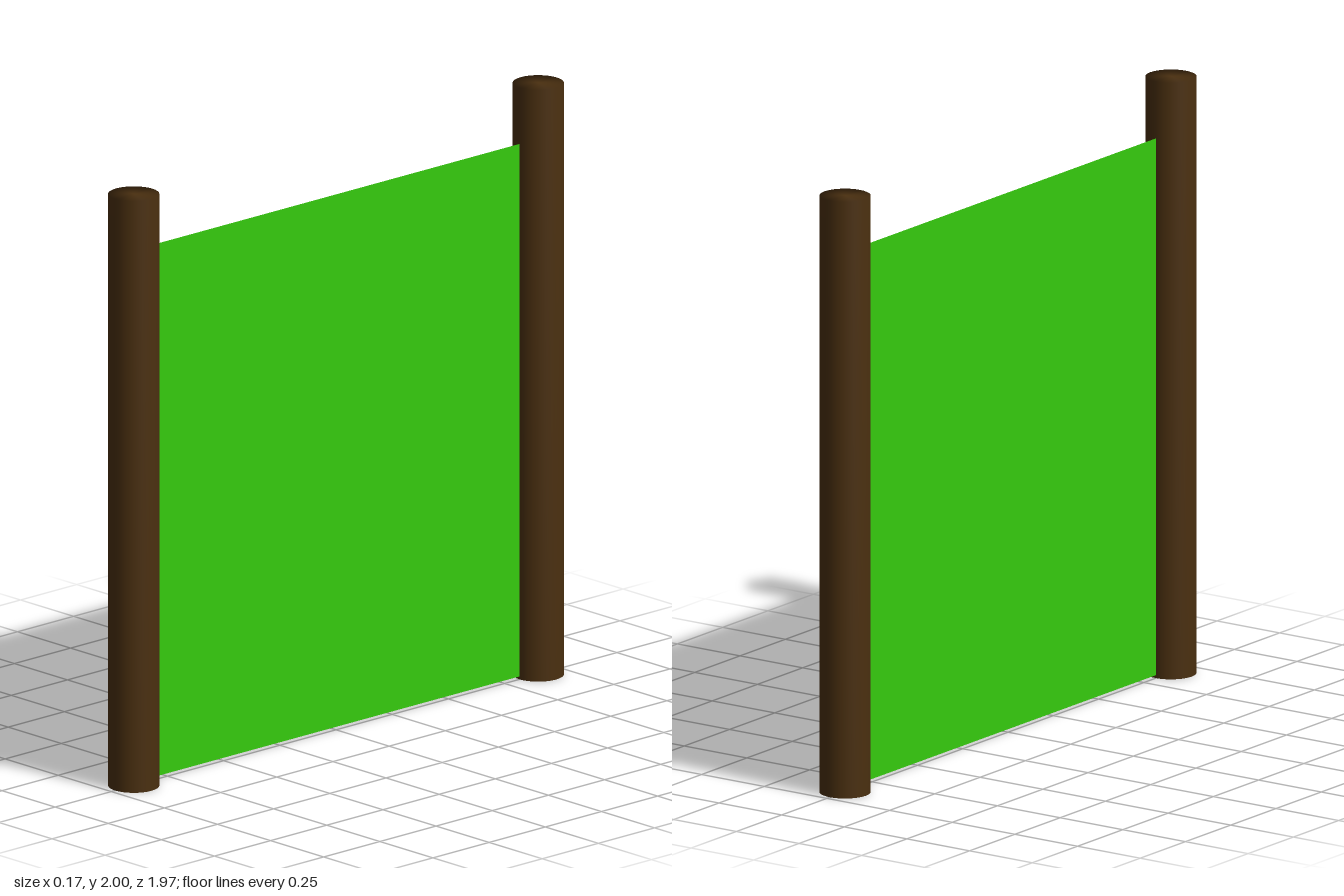
import * as THREE from 'three';
import { mergeVertices } from 'three/addons/utils/BufferGeometryUtils.js';

const POST_RADIUS = 0.083;
const POST_HEIGHT = 2;
const POST_OFFSET = 0.9;

// Round post whose caps blend softly into the side
function postGeometry() {
  const geometry = new THREE.CylinderGeometry(POST_RADIUS, POST_RADIUS, POST_HEIGHT, 32);
  geometry.deleteAttribute('normal');
  geometry.deleteAttribute('uv');
  const smooth = mergeVertices(geometry, 1e-4);
  smooth.computeVertexNormals();
  return smooth;
}

export function createModel() {
  const model = new THREE.Group();
  model.name = 'screenPanel';

  const wood = new THREE.MeshStandardMaterial({ color: 0x4b3010 });
  const green = new THREE.MeshStandardMaterial({ color: 0x35cb0e, side: THREE.DoubleSide });

  // Two upright posts, front and back
  const geometry = postGeometry();
  for (const [name, side] of [['frontPost', 1], ['backPost', -1]]) {
    const post = new THREE.Mesh(geometry, wood);
    post.name = name;
    post.position.set(0, POST_HEIGHT / 2, side * POST_OFFSET);
    model.add(post);
  }

  // Thin sheet stretched between the post centres
  const sheet = new THREE.Mesh(new THREE.PlaneGeometry(2 * POST_OFFSET, 1.8), green);
  sheet.name = 'sheet';
  sheet.rotation.y = Math.PI / 2;
  sheet.position.y = 0.91;
  model.add(sheet);

  return model;
}
